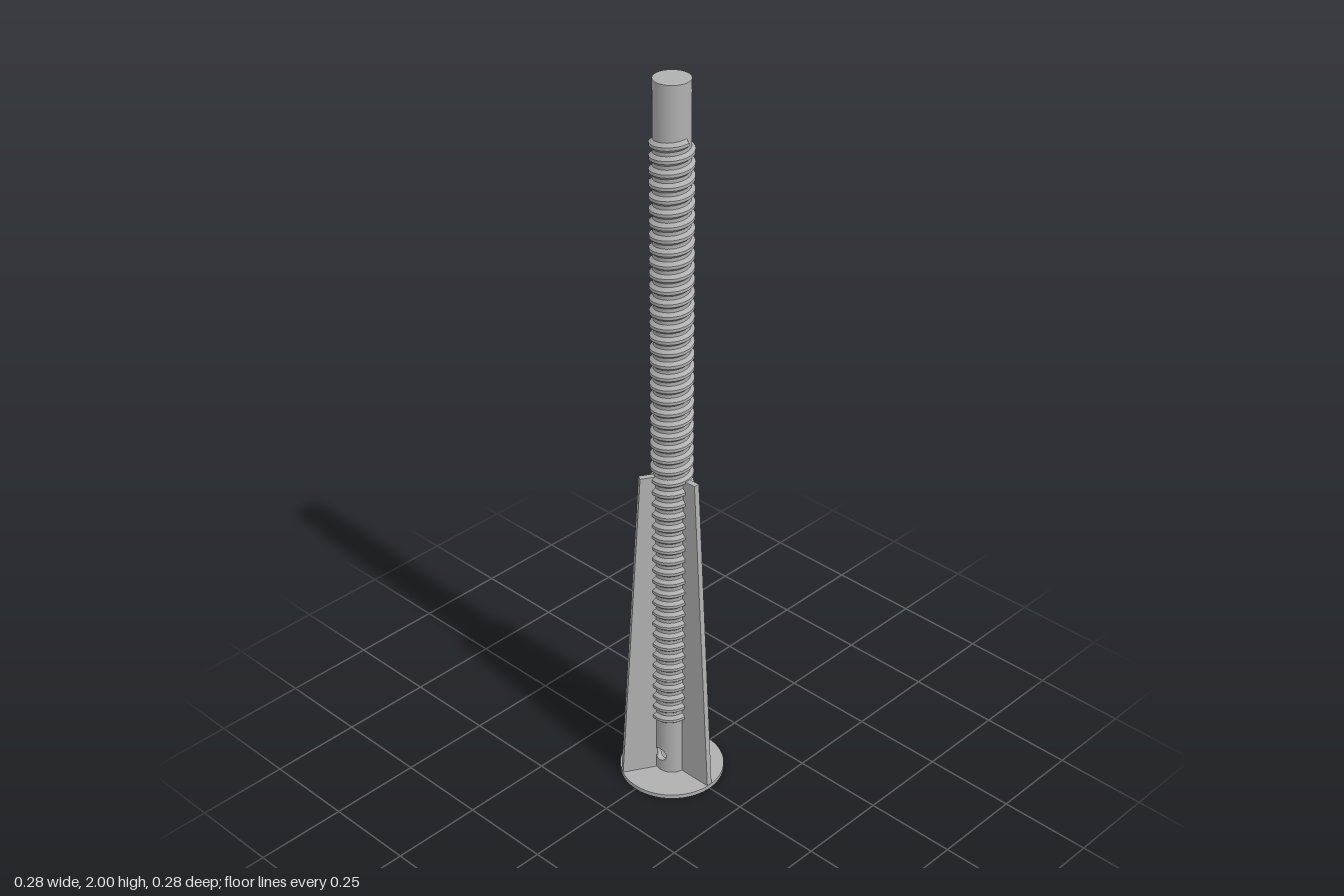
import * as THREE from 'three';
import { toCreasedNormals } from 'three/addons/utils/BufferGeometryUtils.js';
import { ParametricGeometry } from 'three/addons/geometries/ParametricGeometry.js';

const PLATE_R = 0.14, PLATE_T = 0.012;
const SHAFT_R = 0.046, BORE_R = 0.03, CREST_R = 0.055;
const THREAD_Y0 = 0.15, THREAD_Y1 = 1.865, TURNS = 50;
const HOLE_Y = 0.064, HOLE_R = 0.019;

export function createModel() {
  const model = new THREE.Group();
  model.name = 'threadedPost';
  const steel = new THREE.MeshStandardMaterial({ color: 0xb0b0b0 });
  steel.name = 'steel grey';

  const add = (name, geometry, parent = model) => {
    const mesh = new THREE.Mesh(geometry, steel);
    mesh.name = name;
    parent.add(mesh);
    return mesh;
  };

  // Round base plate with the bore through its middle
  const disc = new THREE.Shape().absarc(0, 0, PLATE_R, 0, Math.PI * 2);
  disc.holes.push(new THREE.Path().absarc(0, 0, BORE_R, 0, Math.PI * 2, true));
  const plate = new THREE.ExtrudeGeometry(disc, { depth: PLATE_T, bevelEnabled: false, curveSegments: 64 });
  plate.rotateX(-Math.PI / 2);
  add('basePlate', toCreasedNormals(plate, 0.6));

  // Solid shaft above the hollow socket
  const shaft = new THREE.CylinderGeometry(SHAFT_R, SHAFT_R, 2 - THREAD_Y0, 48);
  shaft.translate(0, 1 + THREAD_Y0 / 2, 0);
  add('shaft', shaft);

  // Hollow socket: each half wall runs from a round cross hole out to its border
  const wallPoint = (radius, t, s, target) => {
    const c = Math.cos(t), n = Math.sin(t), m = Math.max(Math.abs(c), Math.abs(n));
    const holeAngle = Math.asin((HOLE_R * c) / radius);
    const edgeY = (n / m) * (n > 0 ? THREAD_Y0 - HOLE_Y : HOLE_Y - PLATE_T);
    const angle = THREE.MathUtils.lerp(holeAngle, (c / m) * Math.PI / 2, s);
    const y = HOLE_Y + THREE.MathUtils.lerp(HOLE_R * n, edgeY, s);
    return target.set(radius * Math.sin(angle), y, radius * Math.cos(angle));
  };
  const TAU = Math.PI * 2;
  const socketParts = {
    socketWall: new ParametricGeometry((u, v, p) => wallPoint(SHAFT_R, -TAU * u, v, p), 64, 10),
    socketBore: new ParametricGeometry((u, v, p) => wallPoint(BORE_R, TAU * u, v, p), 64, 10),
    crossHole: new ParametricGeometry((u, v, p) => {
      const outer = wallPoint(SHAFT_R, -TAU * u, 0, new THREE.Vector3());
      wallPoint(BORE_R, -TAU * u, 0, p).lerp(outer, v);
    }, 64, 1),
  };
  for (const [side, turn] of [['front', 0], ['back', Math.PI]]) {
    const half = new THREE.Group();
    half.name = side + 'Socket';
    half.rotation.y = turn;
    for (const [name, geometry] of Object.entries(socketParts)) add(name, geometry, half);
    model.add(half);
  }

  // Helical thread: lower flank, crest and upper flank swept up the shaft
  const profile = [[SHAFT_R - 0.001, -0.013], [CREST_R, -0.004], [CREST_R, 0.004], [SHAFT_R - 0.001, 0.013]];
  const thread = new THREE.Group();
  thread.name = 'thread';
  model.add(thread);
  ['lowerFlank', 'crest', 'upperFlank'].forEach((name, i) => {
    const [r0, h0] = profile[i], [r1, h1] = profile[i + 1];
    add(name, new ParametricGeometry((u, v, p) => {
      const a = u * TURNS * TAU, r = r0 + (r1 - r0) * v;
      const y = THREE.MathUtils.lerp(THREAD_Y0 + 0.013, THREAD_Y1 - 0.013, u) + h0 + (h1 - h0) * v;
      p.set(r * Math.cos(a), y, -r * Math.sin(a));
    }, TURNS * 32, 1), thread);
  });
  // Flat ends closing the thread
  const endShape = new THREE.Shape(profile.map(([r, h]) => new THREE.Vector2(r, h)));
  const endGeometry = new THREE.ShapeGeometry(endShape);
  add('threadStart', endGeometry, thread).position.y = THREAD_Y0 + 0.013;
  const end = add('threadEnd', endGeometry.clone().rotateX(Math.PI), thread);
  end.position.y = THREAD_Y1 - 0.013;

  // Three tapered fins bracing the shaft
  const finShape = new THREE.Shape([
    new THREE.Vector2(0.042, PLATE_T), new THREE.Vector2(0.139, PLATE_T),
    new THREE.Vector2(0.085, 0.94), new THREE.Vector2(0.042, 0.94),
  ]);
  const fin = new THREE.ExtrudeGeometry(finShape, { depth: 0.016, bevelEnabled: false });
  fin.translate(0, 0, -0.008);
  for (let i = 0; i < 3; i++) add('fin' + (i + 1), fin).rotation.y = (i * TAU) / 3;

  return model;
}
